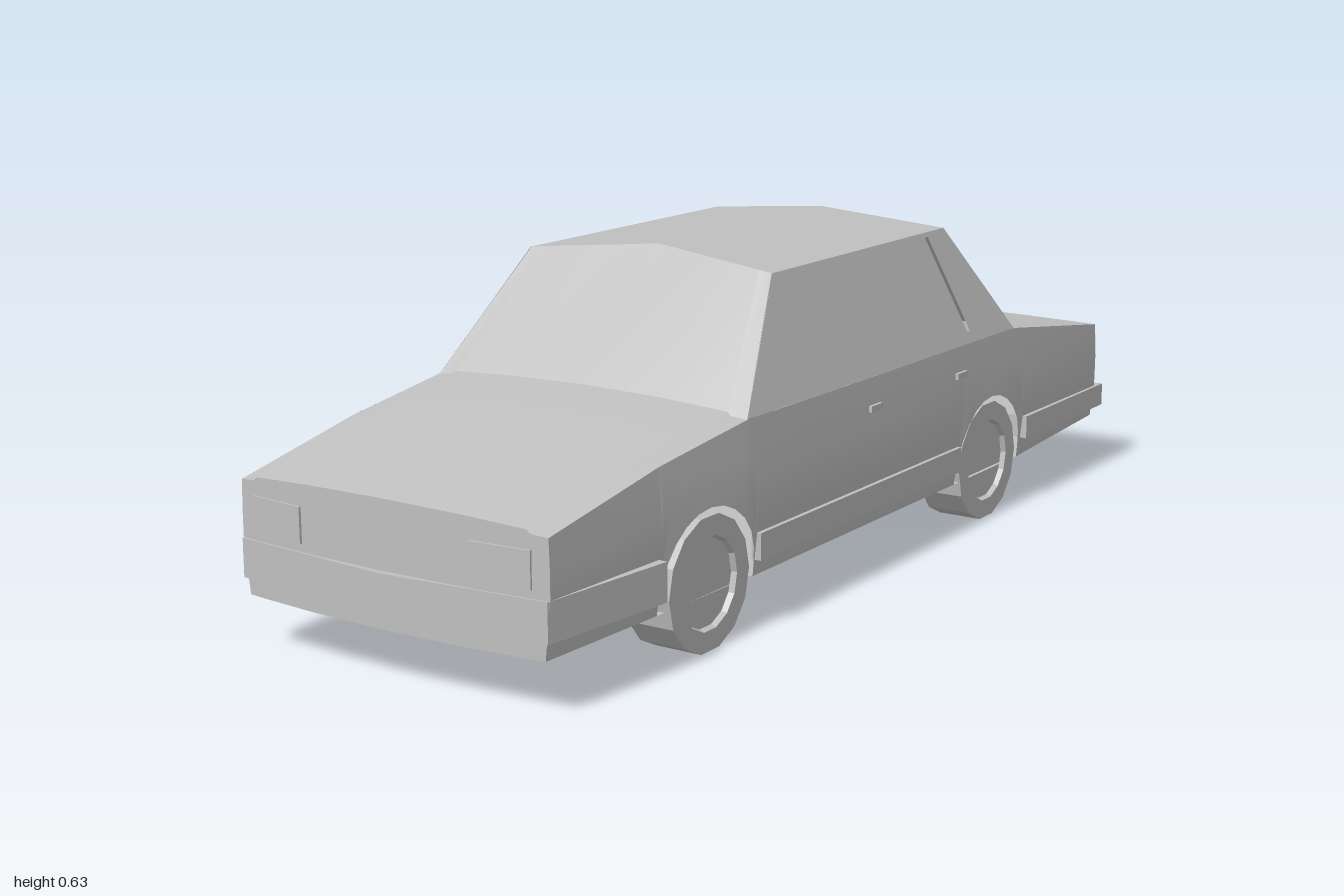
import * as THREE from 'three';

// piecewise linear lookup through [key, value] pairs with rising keys
function interp(t, pts) {
  if (t <= pts[0][0]) return pts[0][1];
  for (let i = 1; i < pts.length; i++) {
    const [a, va] = pts[i - 1], [b, vb] = pts[i];
    if (t <= b) return va + (vb - va) * (t - a) / (b - a);
  }
  return pts[pts.length - 1][1];
}
const mix = (a, b, t) => a + (b - a) * t;

// body outline rules
const WHEELS = [0.545, -0.475], ARCH = 0.137, AXLE = 0.122;
const belt = z => interp(z, [[-0.97, 0.325], [-0.58, 0.38], [0.43, 0.385], [0.68, 0.355], [0.967, 0.302]]);
const base = z => interp(z, [[-0.97, 0.12], [-0.6, 0.1]]);
const sideX = (y, z) => interp(z, [[0.43, 0.345], [0.967, 0.322]]) +
  interp(y, [[0.1, -0.006], [0.2, 0.005], [0.28, 0.005], [0.38, -0.003]]);
const nose = s => 0.967 + 0.02 * (1 - s * s);
const deck = (s, z) => belt(z) + (z > 0 ? 0.014 * (1 - s * s) + (Math.abs(s) < 0.89 ? 0.006 : 0) : 0.004 * (1 - s * s));
const roofY = s => 0.605 + 0.025 * (1 - Math.abs(s));
const roofFront = s => 0.238 - 0.036 * (1 - Math.abs(s));
const roofRear = s => -0.4 + 0.022 * (1 - Math.abs(s));
const cabinX = y => mix(0.342, 0.27, (y - 0.38) / 0.225);

// surface through a grid of points
function sheet(us, vs, f) {
  const pos = [], idx = [], n = vs.length;
  us.forEach((u, i) => vs.forEach((v, j) => {
    pos.push(...f(u, v));
    if (i && j) {
      const d = i * n + j, c = d - 1, b = d - n, a = b - 1;
      idx.push(a, c, d, a, d, b);
    }
  }));
  const g = new THREE.BufferGeometry();
  g.setAttribute('position', new THREE.Float32BufferAttribute(pos, 3));
  g.setIndex(idx);
  g.computeVertexNormals();
  return g;
}

function flat(g) {
  const out = g.index ? g.toNonIndexed() : g;
  out.computeVertexNormals();
  return out;
}

// flat outline in (z, y), leaned onto the cabin side
function cabinPanel(outline, holes, side, inset) {
  const pts = a => a.map(p => new THREE.Vector2(...p));
  const shape = new THREE.Shape(pts(outline));
  holes.forEach(h => shape.holes.push(new THREE.Path(pts(h))));
  const g = new THREE.ShapeGeometry(shape), p = g.attributes.position;
  for (let i = 0; i < p.count; i++) {
    const z = p.getX(i), y = p.getY(i);
    p.setXYZ(i, side * (cabinX(y) - inset), y, z);
  }
  if (side > 0) g.index.array.reverse();
  return flat(g);
}

// horizontal outline in (x, z), raised from y0 to y1
function slab(outline, y0, y1) {
  const shape = new THREE.Shape(outline.map(([x, z]) => new THREE.Vector2(x, -z)));
  const g = new THREE.ExtrudeGeometry(shape, { depth: y1 - y0, bevelEnabled: false });
  return g.rotateX(-Math.PI / 2).translate(0, y0, 0);
}

export function createModel() {
  const car = new THREE.Group();
  car.name = 'sedan';
  const paint = new THREE.MeshStandardMaterial({ color: 0xc0c0c0, side: THREE.DoubleSide });
  paint.name = 'grey';
  const add = (name, geometry, x = 0, y = 0, z = 0) => {
    const m = new THREE.Mesh(geometry, paint);
    m.name = name;
    m.position.set(x, y, z);
    car.add(m);
    return m;
  };

  // skin panels running from the nose over the roof and back underneath
  const S = [-1, -0.9, -0.88, -0.5, 0, 0.5, 0.88, 0.9, 1];
  const T = [0, 0.25, 0.5, 0.75, 1];
  const endFace = (s, t, z) => {
    const y = mix(base(z), deck(s, z), t);
    return [s * sideX(y, z), y, z];
  };
  const lid = (s, z) => {
    const y = deck(s, z);
    return [s * sideX(belt(z), z), y, z];
  };
  add('noseFace', sheet(S, T, (s, t) => endFace(s, t, nose(s))));
  add('hood', sheet(S, [0, 0.27, 0.53, 0.8, 1], (s, t) => lid(s, mix(nose(s), 0.43, t))));
  add('windshield', sheet(S, [0, 1], (s, t) =>
    [s * mix(0.342, 0.27, t), mix(deck(s, 0.43), roofY(s), t), mix(0.43, roofFront(s), t)]));
  add('roof', sheet(S, T, (s, t) => [s * 0.27, roofY(s), mix(roofFront(s), roofRear(s), t)]));
  add('rearWindow', sheet(S, [0, 1], (s, t) =>
    [s * mix(0.27, 0.342, t), mix(roofY(s), deck(s, -0.58), t), mix(roofRear(s), -0.58, t)]));
  add('trunkLid', sheet(S, T, (s, t) => lid(s, mix(-0.58, -0.97, t))));
  add('tailFace', sheet(S, T, (s, t) => endFace(s, 1 - t, -0.97)));
  add('floor', sheet(S, [0, 0.19, 0.6, 0.8, 1], (s, t) => {
    const z = mix(-0.97, nose(s), t);
    return [s * sideX(base(z), z), base(z), z];
  }));

  // lower edge of each body side, with the wheel arches cut out: [z, y]
  const edge = [0.967, 0.82].map(z => [z, base(z)]);
  WHEELS.forEach((c, k) => {
    edge.push([c + ARCH + 0.001, 0.1]);
    for (let i = 0; i <= 12; i++) {
      const a = i * Math.PI / 12;
      edge.push([c + ARCH * Math.cos(a), 0.12 + ARCH * Math.sin(a)]);
    }
    edge.push([c - ARCH - 0.001, 0.1]);
    if (!k) edge.push([0.2, 0.1], [-0.1, 0.1]);
  });
  edge.push([-0.8, base(-0.8)], [-0.97, base(-0.97)]);

  // cabin side outline and window openings: [z, y]
  const frame = [[0.43, 0.385], [0.24, 0.605], [-0.4, 0.605], [-0.58, 0.38]].reverse();
  const frontGlass = [[0.375, 0.402], [0.225, 0.596], [-0.033, 0.596], [-0.033, 0.402]];
  const rearGlass = [[-0.05, 0.402], [-0.05, 0.596], [-0.33, 0.596], [-0.4, 0.402]];
  const glass = [[0.39, 0.395], [0.23, 0.602], [-0.335, 0.602], [-0.41, 0.395]].reverse();

  for (const side of [1, -1]) {
    const label = side > 0 ? 'left' : 'right';
    const columns = side > 0 ? edge : [...edge].reverse();
    add(label + 'BodySide', sheet(columns, [0, 0.36, 0.64, 1], ([z, y0], t) => {
      const y = mix(y0, belt(z), t);
      return [side * sideX(y, z), y, z];
    }));
    add(label + 'CabinFrame', cabinPanel(frame, [frontGlass, rearGlass], side, 0));
    add(label + 'SideGlass', cabinPanel(glass, [], side, 0.012));

    // sill strip, door handles and lamps
    add(label + 'SillStrip', new THREE.BoxGeometry(0.02, 0.05, 0.74), side * 0.346, 0.155, 0.036);
    for (const z of [0.0, -0.34])
      add(label + 'DoorHandle', new THREE.BoxGeometry(0.008, 0.012, 0.04), side * 0.349, 0.325, z);
    const head = add(label + 'Headlamp', new THREE.BoxGeometry(0.115, 0.064, 0.008), side * 0.237, 0.247, 0.976);
    head.rotation.y = side * 0.09;
    add(label + 'TailLamp', new THREE.BoxGeometry(0.19, 0.075, 0.008), side * 0.235, 0.262, -0.97);

    // wheels with a recessed hub
    for (const z of WHEELS) {
      const profile = [[0, -0.046], [0.122, -0.046], [0.122, 0.046], [0.084, 0.046], [0.08, 0.036], [0, 0.036]];
      const g = flat(new THREE.LatheGeometry(profile.map(p => new THREE.Vector2(...p)), 14));
      const wheel = add(label + (z > 0 ? 'Front' : 'Rear') + 'Wheel', g, side * 0.296, AXLE, z);
      wheel.rotation.z = -side * Math.PI / 2;
    }
  }

  // wrap-around bumpers
  add('frontBumper', slab([[-0.355, 0.69], [0.355, 0.69], [0.325, 0.972], [0, 1], [-0.325, 0.972]].reverse(), 0.13, 0.2));
  add('rearBumper', slab([[-0.358, -0.62], [0.358, -0.62], [0.355, -1], [-0.355, -1]], 0.14, 0.187));
  return car;
}
